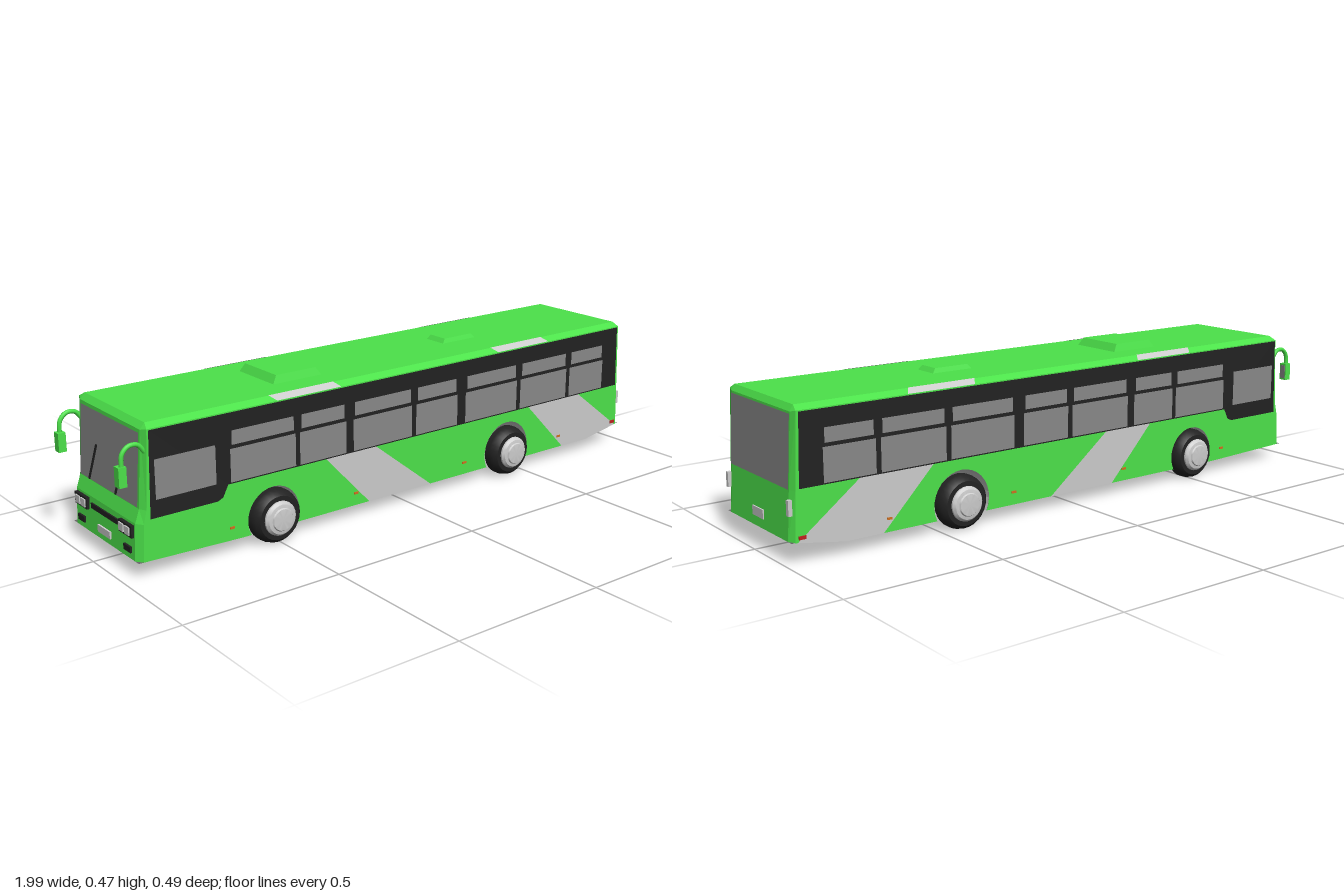
import * as THREE from 'three';
import { toCreasedNormals } from 'three/addons/utils/BufferGeometryUtils.js';

const mat = (color) => new THREE.MeshStandardMaterial({ color, side: THREE.DoubleSide });
const GREEN = mat(0x4ce24a), GREY = mat(0xcccccc), GLASS = mat(0x888888), BLACK = mat(0x222222);
const FLOOR = mat(0x666666), ORANGE = mat(0xd07020), RED = mat(0xc02020);

const W = 0.2, WI = 0.178; // half width at the sides and inside the chamfers

function add(parent, name, geometry, material) {
  const mesh = new THREE.Mesh(geometry, material);
  mesh.name = name;
  parent.add(mesh);
  return mesh;
}

// Flat-shaded band of quads between two equally long point lists
function band(a, b) {
  const pos = [];
  for (let i = 0; i < a.length - 1; i++) {
    pos.push(...a[i], ...b[i], ...b[i + 1], ...a[i], ...b[i + 1], ...a[i + 1]);
  }
  const g = new THREE.BufferGeometry();
  g.setAttribute('position', new THREE.Float32BufferAttribute(pos, 3));
  g.computeVertexNormals();
  return g;
}
const at = (pts, z) => pts.map(([x, y]) => [x, y, z]);
const across = (pts, w) => band(at(pts, w), at(pts, -w));
const flat = (pts, z) =>
  new THREE.ShapeGeometry(new THREE.Shape(pts.map((p) => new THREE.Vector2(...p)))).translate(0, 0, z);
const rect = (x0, y0, x1, y1) => [[x0, y0], [x1, y0], [x1, y1], [x0, y1]];

function box(parent, name, material, size, pos) {
  const mesh = add(parent, name, new THREE.BoxGeometry(...size), material);
  mesh.position.set(...pos);
  return mesh;
}

// Wheel arch outline, front to rear, ending on the sill
function arch(cx, r) {
  const phi = Math.asin(0.043 / r), pts = [];
  for (let i = 0; i <= 20; i++) {
    const t = Math.PI + phi - (i / 20) * (Math.PI + 2 * phi);
    pts.push([cx + r * Math.cos(t), 0.083 + r * Math.sin(t)]);
  }
  return pts;
}

// Truncated pyramid for a roof hatch
function hatch(parent, name, x0, x1, w, h, inset) {
  const g = new THREE.BoxGeometry(x1 - x0, h, w * 2);
  const p = g.attributes.position;
  for (let i = 0; i < p.count; i++) {
    if (p.getY(i) > 0) {
      p.setX(i, p.getX(i) - Math.sign(p.getX(i)) * inset);
      p.setZ(i, p.getZ(i) - Math.sign(p.getZ(i)) * inset * 0.5);
    }
  }
  g.computeVertexNormals();
  add(parent, name, g, GREEN).position.set((x0 + x1) / 2, 0.443 + h / 2, 0);
}

export function createModel() {
  const bus = new THREE.Group();
  bus.name = 'bus';
  const body = new THREE.Group();
  body.name = 'body';
  body.position.z = -0.004;
  bus.add(body);

  // Outlines from front bottom over the roof to rear bottom
  const outer = [[-0.942, 0.05], [-0.935, 0.16], [-0.925, 0.2], [-0.912, 0.43],
    [0.96, 0.43], [0.97, 0.21], [0.976, 0.066]];
  const inner = [[-0.957, 0.05], [-0.95, 0.16], [-0.936, 0.2], [-0.92, 0.425], [-0.905, 0.443],
    [0.955, 0.443], [0.966, 0.425], [0.978, 0.21], [0.987, 0.066]];
  const frontArch = arch(-0.51, 0.09), rearArch = arch(0.43, 0.098);
  const sill = [[-0.942, 0.05], [-0.62, 0.04], ...frontArch, ...rearArch, [0.82, 0.04], [0.976, 0.066]];

  // Roof, nose and tail
  add(body, 'shell', across(inner, WI), GREEN);

  // Underside
  add(body, 'frontFloor', across([[-0.957, 0.05], [-0.62, 0.04], frontArch[0]], W - 0.001), FLOOR);
  add(body, 'middleFloor', across([frontArch[20], rearArch[0]], W - 0.001), FLOOR);
  add(body, 'rearFloor', across([[0.526, 0.085], [0.987, 0.066]], W - 0.001), FLOOR);
  add(body, 'frontWheelWell', across(frontArch, W - 0.001), GREY);
  add(body, 'rearWheelWell', across(rearArch, W - 0.001), GREY);

  const windows = [[-0.655, -0.43], [-0.415, -0.245], [-0.217, 0.013], [0.03, 0.203],
    [0.238, 0.467], [0.484, 0.703], [0.719, 0.885]];

  for (const s of [1, -1]) {
    const side = new THREE.Group();
    side.name = s > 0 ? 'nearSide' : 'farSide';
    side.scale.z = s;
    body.add(side);

    add(side, 'sidePanel', flat([...sill, ...outer.slice(1, 6).reverse()], W), GREEN);

    // Chamfer between the side and the shell
    const edge = [...outer.slice(0, 4), outer[3], outer[4], outer[4], ...outer.slice(5)];
    add(side, 'chamfer', band(at(edge, W), at(inner, WI)), GREEN);

    // Diagonal stripes and their ends on the roof edge
    add(side, 'stripe', flat([[-0.155, 0.04], [0.095, 0.04], [-0.13, 0.216], [-0.32, 0.216]], W + 0.001), GREY);
    add(side, 'stripe', flat([[0.7, 0.04], [0.82, 0.04], [0.97, 0.065], [0.77, 0.216], [0.527, 0.216]], W + 0.001), GREY);
    for (const x of [-0.49, 0.38]) {
      add(side, 'roofStripe', band([[x, 0.431, W + 0.001], [x + 0.23, 0.431, W + 0.001]],
        [[x - 0.015, 0.444, WI], [x + 0.215, 0.444, WI]]), GREY);
    }

    // Window band and panes
    add(side, 'windowBand', flat([[-0.915, 0.172], [-0.7, 0.172], [-0.682, 0.18], [-0.664, 0.215],
      [0.96, 0.215], [0.953, 0.427], [-0.908, 0.427]], W + 0.002), BLACK);
    add(side, 'driverWindow', flat(rect(-0.896, 0.225, -0.703, 0.342), W + 0.0035), GLASS);
    for (const [x0, x1] of windows) {
      add(side, 'lowerPane', flat(rect(x0, 0.219, x1, 0.32), W + 0.0035), GLASS);
      add(side, 'upperPane', flat(rect(x0 + 0.006, 0.331, x1 - 0.006, 0.374), W + 0.0035), GLASS);
    }

    // Marker lamps
    for (const x of [-0.655, -0.206, 0.24, 0.68]) {
      box(side, 'sideMarker', ORANGE, [0.016, 0.007, 0.004], [x, 0.08, W + 0.001]);
    }
    box(side, 'rearMarker', RED, [0.022, 0.01, 0.005], [0.955, 0.078, W + 0.001]);

    // Mirror on a curved arm
    const arm = new THREE.CatmullRomCurve3([[-0.915, 0.365], [-0.935, 0.388], [-0.962, 0.39],
      [-0.983, 0.37], [-0.987, 0.33]].map(([x, y]) => new THREE.Vector3(x, y, 0.188)));
    add(side, 'mirrorArm', new THREE.TubeGeometry(arm, 16, 0.007, 8), GREEN);
    box(side, 'mirrorHead', GREEN, [0.024, 0.058, 0.026], [-0.988, 0.308, 0.184]);
    box(side, 'mirrorGlass', GLASS, [0.002, 0.046, 0.02], [-0.9755, 0.308, 0.184]);

    // Lamps at both ends
    box(side, 'tailLamp', GREY, [0.012, 0.045, 0.013], [0.984, 0.163, 0.187]);
    box(side, 'headlampHousing', BLACK, [0.014, 0.036, 0.075], [-0.954, 0.135, 0.135]);
    for (const z of [0.117, 0.15]) {
      box(side, 'headlamp', GREY, [0.006, 0.024, 0.026], [-0.962, 0.135, z]);
    }
    box(side, 'fogLamp', BLACK, [0.01, 0.018, 0.04], [-0.956, 0.078, 0.14]);

    // Wheels
    const tyre = [[0, 0.182], [0.083, 0.182], [0.083, 0.2], [0.078, 0.217], [0.068, 0.227], [0.05, 0.227]];
    const hub = [[0.054, 0.222], [0.053, 0.232], [0.046, 0.24], [0.036, 0.242], [0.033, 0.246], [0, 0.246]];
    for (const x of [-0.51, 0.43]) {
      const wheel = new THREE.Group();
      wheel.name = x < 0 ? 'frontWheel' : 'rearWheel';
      wheel.position.set(x, 0.083, 0);
      wheel.scale.z = s;
      bus.add(wheel);
      for (const [name, pts, m] of [['tyre', tyre, BLACK], ['hub', hub, GREY]]) {
        const g = new THREE.LatheGeometry(pts.map((p) => new THREE.Vector2(...p)), 28).rotateX(Math.PI / 2);
        add(wheel, name, toCreasedNormals(g, 0.6), m);
      }
    }
  }

  // Windscreen, wipers and nose details
  add(body, 'windscreen', across([[-0.938, 0.203], [-0.922, 0.415]], 0.172), GLASS);
  for (const z of [-0.09, 0.07]) {
    const wiper = box(body, 'wiper', BLACK, [0.004, 0.12, 0.006], [-0.936, 0.262, z]);
    wiper.rotation.set(0.35, 0, -0.075);
  }
  box(body, 'grille', BLACK, [0.006, 0.016, 0.16], [-0.953, 0.135, 0]);
  box(body, 'frontPlate', GREY, [0.006, 0.022, 0.075], [-0.957, 0.08, 0]);

  // Rear window and plate
  add(body, 'rearWindow', across([[0.9795, 0.211], [0.9675, 0.419]], 0.177), GLASS);
  box(body, 'rearPlate', GREY, [0.006, 0.027, 0.066], [0.985, 0.108, 0]);

  // Roof hatches
  hatch(body, 'largeRoofHatch', -0.43, -0.255, 0.092, 0.024, 0.016);
  hatch(body, 'smallRoofHatch', 0.28, 0.42, 0.041, 0.014, 0.012);

  return bus;
}
